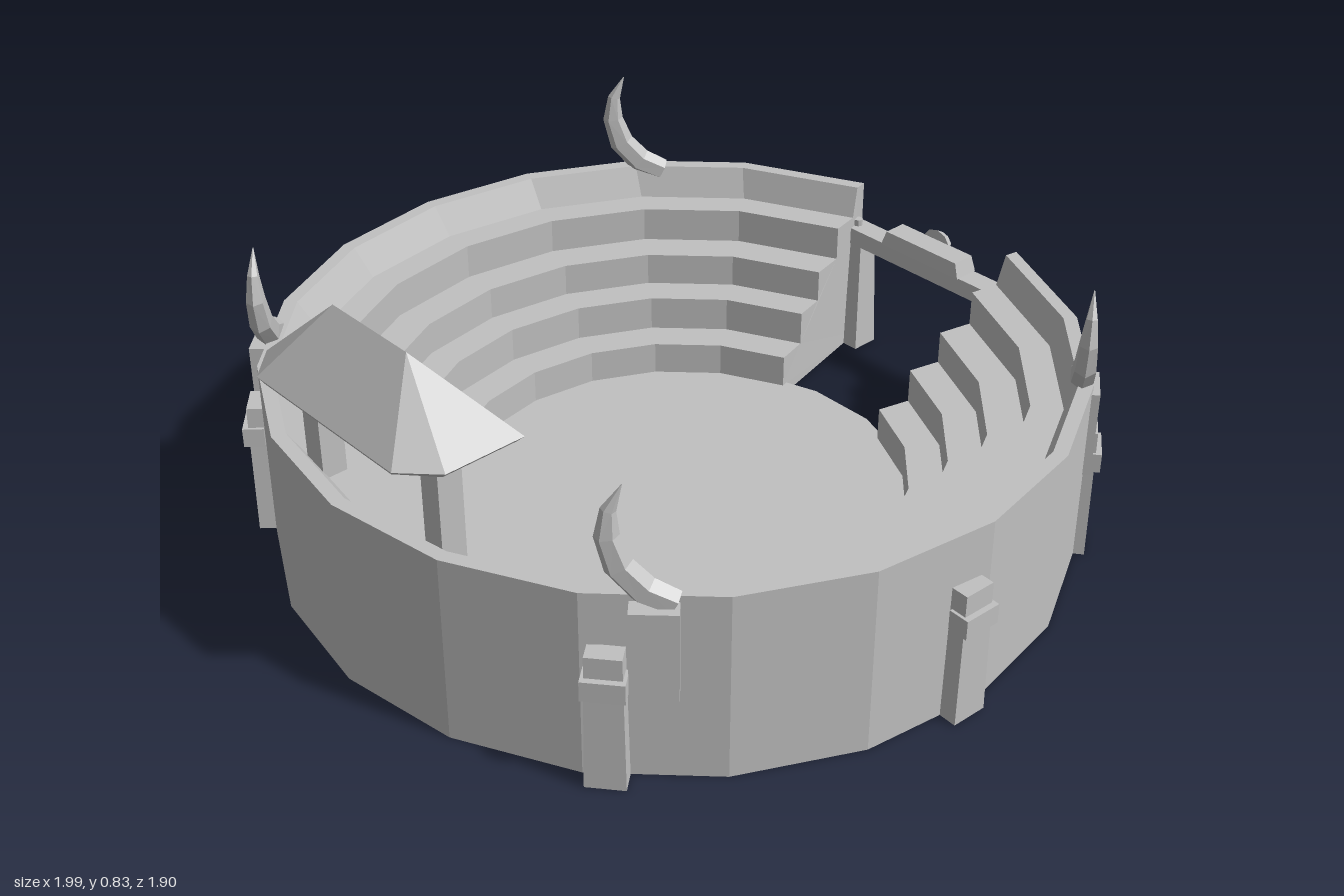
import * as THREE from 'three';
import { ConvexGeometry } from 'three/addons/geometries/ConvexGeometry.js';

const stone = new THREE.MeshStandardMaterial({ color: 0xc0c0c0, flatShading: true, side: THREE.DoubleSide });
stone.name = 'grey stone';
const rad = THREE.MathUtils.degToRad;

function add(parent, name, geometry, x = 0, y = 0, z = 0) {
  const mesh = new THREE.Mesh(geometry, stone);
  mesh.name = name;
  mesh.position.set(x, y, z);
  parent.add(mesh);
  return mesh;
}

// Box standing on y = 0 whose top is scaled by taper
function taperedBox(w, h, d, taper = 1) {
  const g = new THREE.BoxGeometry(w, h, d).translate(0, h / 2, 0);
  const p = g.attributes.position;
  for (let i = 0; i < p.count; i++) {
    if (p.getY(i) > h / 2) p.setXYZ(i, p.getX(i) * taper, h, p.getZ(i) * taper);
  }
  g.computeVertexNormals();
  return g;
}

function meshFromTriangles(points, index) {
  let g = new THREE.BufferGeometry().setFromPoints(points);
  g.setIndex(index);
  g = g.toNonIndexed();
  g.computeVertexNormals();
  return g;
}

// Outer wall, rim and stepped seats as [radius, height]
const profile = [
  [0.955, 0], [0.953, 0.46], [0.92, 0.46], [0.885, 0.38], [0.81, 0.38], [0.81, 0.29],
  [0.72, 0.29], [0.72, 0.205], [0.636, 0.205], [0.636, 0.115], [0.55, 0.115], [0.55, 0.03],
];

// Point on the ring at column k (-9..9); the end columns border the gate gap
function ringPoint([r, y], k) {
  const gap = 15.7 + (0.953 - r) * 5;
  const a = rad(Math.abs(k) === 9 ? Math.sign(k) * (180 - gap) : k * 18);
  const shift = r > 0.9 ? -0.012 : -0.027;
  return new THREE.Vector3(Math.sin(a) * r, y, Math.cos(a) * r + shift);
}

function ringGeometry() {
  const points = [], index = [], n = profile.length;
  for (let k = -9; k <= 9; k++) profile.forEach((p) => points.push(ringPoint(p, k)));
  for (let j = 0; j < 18; j++) {
    for (let i = 0; i < n - 1; i++) {
      const a = j * n + i, b = a + n;
      index.push(a, b, b + 1, a, b + 1, a + 1);
    }
  }
  return meshFromTriangles(points, index);
}

// Stepped end face beside the gate
function endGeometry(side) {
  const outline = [...profile, [0.55, 0]];
  const faces = THREE.ShapeUtils.triangulateShape(outline.map(([r, y]) => new THREE.Vector2(r, y)), []);
  return meshFromTriangles(outline.map((p) => ringPoint(p, side * 9)), faces.flat());
}

// Curved horn: six-sided sections of [sideways, height, radius]
function hornGeometry(dir) {
  const sections = [
    [-0.04, 0.445, 0.03], [0.02, 0.475, 0.034], [0.068, 0.53, 0.032],
    [0.09, 0.6, 0.026], [0.086, 0.66, 0.016], [0.06, 0.717, 0.001],
  ];
  const points = [], index = [], sides = 6, last = sections.length - 1;
  sections.forEach(([s, y, r], i) => {
    const a = sections[Math.max(i - 1, 0)], b = sections[Math.min(i + 1, last)];
    const across = new THREE.Vector2(b[1] - a[1], a[0] - b[0]).normalize();
    for (let k = 0; k < sides; k++) {
      const t = (k / sides) * Math.PI * 2, c = Math.cos(t) * r;
      points.push(new THREE.Vector3(dir * (s + across.x * c), y + across.y * c, Math.sin(t) * r * 0.85));
    }
  });
  for (let i = 0; i < last; i++) {
    for (let k = 0; k < sides; k++) {
      const a = i * sides + k, b = i * sides + ((k + 1) % sides);
      const quad = [a, a + sides, b + sides, a, b + sides, b];
      index.push(...(dir > 0 ? quad : quad.reverse()));
    }
  }
  return meshFromTriangles(points, index);
}

// Group whose local +z points outward at an angle from the front
function spoke(parent, name, degrees) {
  const g = new THREE.Group();
  g.name = name;
  g.rotation.y = rad(degrees);
  parent.add(g);
  return g;
}

function buttress(parent, degrees) {
  const g = spoke(parent, 'buttress', degrees);
  add(g, 'buttressPost', taperedBox(0.088, 0.335, 0.05, 0.88), 0, 0, 0.96);
  add(g, 'buttressBand', new THREE.BoxGeometry(0.093, 0.048, 0.05), 0, 0.26, 0.971);
}

function hornMount(parent, degrees) {
  const g = spoke(parent, 'hornMount', degrees);
  add(g, 'hornPanel', new THREE.BoxGeometry(0.1, 0.215, 0.05), 0, 0.337, 0.95);
  add(g, 'horn', hornGeometry(-Math.sign(degrees)), 0, 0, 0.933);
}

export function createModel() {
  const model = new THREE.Group();
  model.name = 'arena';

  // Wall, seats and floor
  add(model, 'wallAndSeats', ringGeometry());
  for (const side of [-1, 1]) add(model, 'seatEnd', endGeometry(side));
  const floor = new THREE.CircleGeometry(0.567, 20).rotateX(-Math.PI / 2).rotateY(rad(9));
  add(model, 'floor', floor, 0, 0.03, -0.035);

  // Buttresses and horns, mirrored
  for (const side of [-1, 1]) {
    for (const a of [39.7, 87, 128.5]) buttress(model, side * a);
    for (const a of [45.5, 128.5]) hornMount(model, side * a);
  }

  // Roofed box over the front seats
  const canopy = new THREE.Group();
  canopy.name = 'canopy';
  model.add(canopy);
  const points = [];
  for (const s of [-1, 1]) {
    points.push(new THREE.Vector3(s * 0.125, 0.828, 0.813));
    for (const [x, z] of [[0.31, 0.675], [0.31, 0.87], [0.235, 0.943]]) {
      points.push(new THREE.Vector3(s * x, 0.66, z));
      points.push(new THREE.Vector3(s * (x - 0.015), 0.645, 0.81 + (z - 0.81) * 0.93));
    }
    add(canopy, 'canopyPost', taperedBox(0.057, 0.29, 0.06), s * 0.212, 0.365, 0.812);
  }
  add(canopy, 'canopyRoof', new ConvexGeometry(points));

  // Gate at the back
  const gate = new THREE.Group();
  gate.name = 'gate';
  gate.position.z = -0.9;
  model.add(gate);
  for (const s of [-1, 1]) {
    add(gate, 'gatePost', taperedBox(0.075, 0.32, 0.075, 0.72), s * 0.235, 0, 0);
    add(gate, 'gatePeg', new THREE.CylinderGeometry(0.012, 0.012, 0.03, 8), s * 0.245, 0.355, 0);
  }
  add(gate, 'gateBeam', new THREE.BoxGeometry(0.52, 0.045, 0.06), 0, 0.33, 0);
  add(gate, 'gateCrest', taperedBox(0.26, 0.04, 0.07, 0.9), 0, 0.352, 0);
  const disc = new THREE.CylinderGeometry(0.03, 0.045, 0.025, 10).rotateX(-Math.PI / 2);
  add(gate, 'gateDisc', disc, 0, 0.375, -0.043);

  return model;
}
